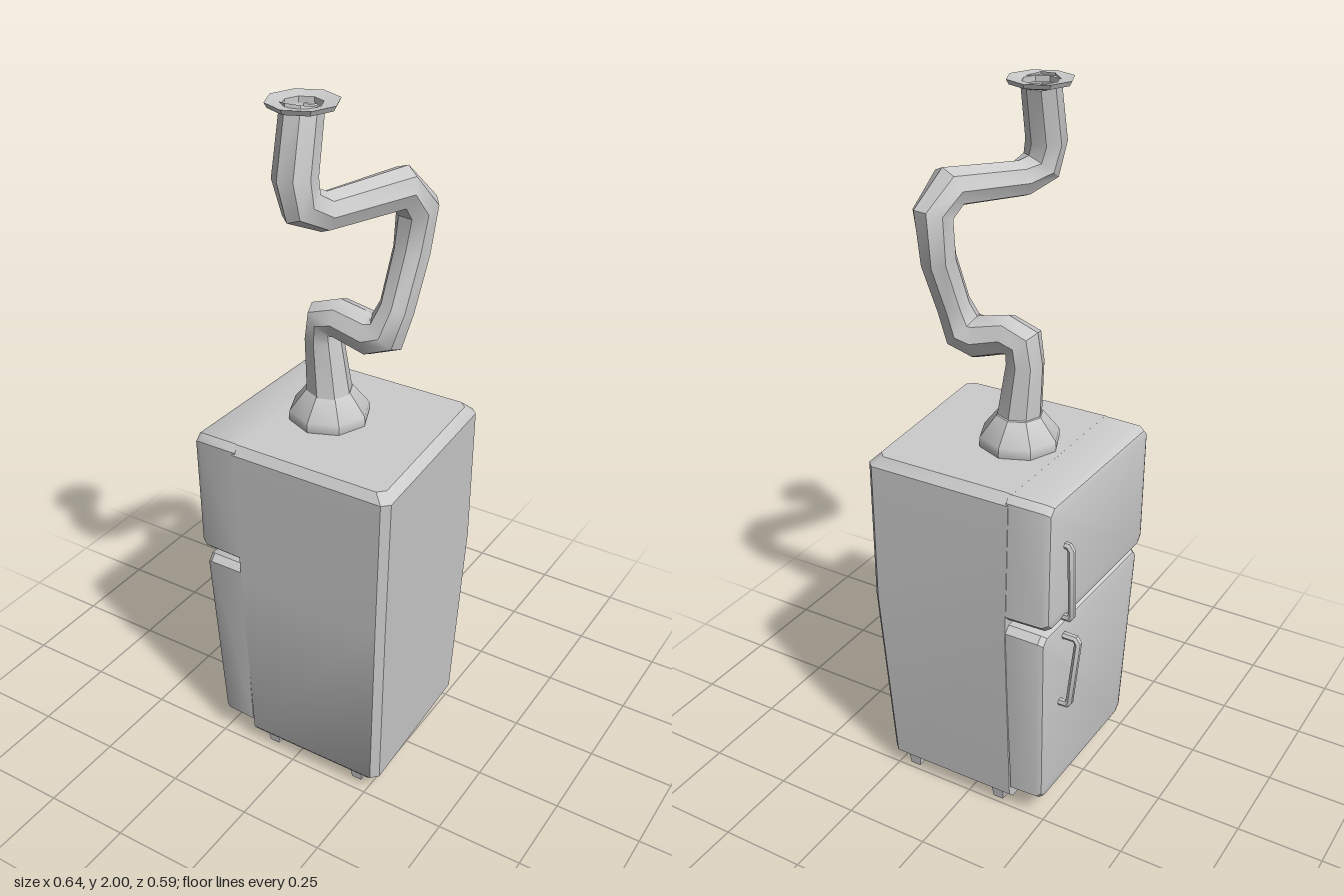
import * as THREE from 'three';
import { toCreasedNormals } from 'three/addons/utils/BufferGeometryUtils.js';

const V = (x, y, z) => new THREE.Vector3(x, y, z);
const material = new THREE.MeshStandardMaterial({ color: 0xcccccc });
const openMaterial = new THREE.MeshStandardMaterial({ color: 0xcccccc, side: THREE.DoubleSide });

function addMesh(parent, name, geometry, mat = material) {
  const mesh = new THREE.Mesh(toCreasedNormals(geometry, 0.6), mat);
  mesh.name = name;
  parent.add(mesh);
  return mesh;
}

// Skin a list of equal-length rings, counter-clockwise about the loft direction
function loft(rings, capped = true) {
  const n = rings[0].length, last = (rings.length - 1) * n, index = [];
  for (let i = 0; i < rings.length - 1; i++) {
    for (let j = 0; j < n; j++) {
      const a = i * n + j, b = i * n + (j + 1) % n;
      index.push(a, b, b + n, a, b + n, a + n);
    }
  }
  if (capped) {
    for (let j = 1; j < n - 1; j++) {
      index.push(0, j + 1, j, last, last + j, last + j + 1);
    }
  }
  const geometry = new THREE.BufferGeometry().setFromPoints(rings.flat());
  geometry.setIndex(index);
  geometry.computeVertexNormals();
  return geometry;
}

// Faceted tube through [x, y, z, radius] stations, mitred at the bends
function sweep(stations, sides, capped) {
  const pts = stations.map(s => V(s[0], s[1], s[2]));
  const dirs = pts.slice(1).map((p, i) => p.clone().sub(pts[i]).normalize());
  let normal = Math.abs(dirs[0].z) > 0.9 ? V(1, 0, 0) : V(0, 0, 1);
  const rings = pts.map((p, i) => {
    const before = dirs[Math.max(i - 1, 0)], after = dirs[Math.min(i, dirs.length - 1)];
    const t = before.clone().add(after).normalize();
    normal = normal.clone().addScaledVector(t, -normal.dot(t)).normalize();
    const side = t.clone().cross(normal);
    return Array.from({ length: sides }, (_, j) => {
      const a = j / sides * Math.PI * 2;
      return p.clone()
        .addScaledVector(normal, Math.cos(a) * stations[i][3])
        .addScaledVector(side, Math.sin(a) * stations[i][3]);
    });
  });
  return loft(rings, capped);
}

// Cabinet depth limits, slightly bellied at mid height
const MID = 0.62;
const mix = THREE.MathUtils.lerp;
const byHeight = (y, low, mid, high) =>
  y < MID ? mix(low, mid, (y - 0.05) / (MID - 0.05)) : mix(mid, high, (y - MID) / (1.035 - MID));
const backZ = y => byHeight(y, -0.26, -0.296, -0.287);
const frontZ = y => byHeight(y, 0.24, 0.267, 0.277);

// Horizontal cabinet section; the +x corners are chamfered
function cabinetRing(y, inset) {
  const h = Math.min(Math.max(y, 0.055), 1.035);
  const zf = frontZ(h) - inset * 0.75, zb = backZ(h) + inset;
  const xf = byHeight(h, 0.283, 0.308, 0.323) - inset;
  const xb = byHeight(h, 0.265, 0.283, 0.29) - inset;
  const xl = mix(-0.143, -0.155, y), c = 0.02;
  return [V(xl, y, zf), V(xf - c, y, zf), V(xf, y, zf - c),
    V(xb, y, zb + c), V(xb - c, y, zb), V(xl, y, zb)];
}

// Door slab growing toward -x, with softened corners and outer rim
function door(y0, y1, outerLow, outerHigh) {
  const ring = (depth, inset) => {
    const bottom = y0 + inset, top = y1 - inset, c = 0.018;
    const point = (y, front, cut) => {
      const z = front ? frontZ(Math.min(y, 1.035)) - inset - cut - 0.002
        : backZ(Math.min(y, 1.035)) + inset + cut + 0.002;
      const outer = mix(outerLow, outerHigh, (y - y0) / (y1 - y0)) - z * 0.015;
      return V(mix(-0.148, outer, depth), y, z);
    };
    return [point(bottom, true, c), point(bottom + c, true, 0),
      point(top - c, true, 0), point(top, true, c),
      point(top, false, c), point(top - c, false, 0),
      point(bottom + c, false, 0), point(bottom, false, c)];
  };
  return loft([ring(0, 0), ring(0.84, 0.002), ring(0.96, 0.01), ring(1, 0.024)]);
}

function lathe(profile) {
  return new THREE.LatheGeometry(profile.map(p => new THREE.Vector2(p[0], p[1])), 8);
}

export function createModel() {
  const model = new THREE.Group();
  model.name = 'refrigeratorWithPipe';

  // Cabinet and its two doors
  addMesh(model, 'cabinet', loft([
    cabinetRing(0.035, 0.02), cabinetRing(0.055, 0), cabinetRing(MID, 0),
    cabinetRing(1.035, 0), cabinetRing(1.06, 0.024),
  ]));
  addMesh(model, 'upperDoor', door(0.678, 1.06, -0.285, -0.284));
  addMesh(model, 'lowerDoor', door(0.066, 0.662, -0.25, -0.272));

  // Door handles: two stubs joined by a bar
  const handle = (name, yTop, xTop, yLow, xLow, z) => {
    const group = new THREE.Group();
    group.name = name;
    const r = 0.011;
    addMesh(group, 'handleBar', sweep([
      [-0.25, yTop, z, r], [xTop + 0.008, yTop, z, r], [xTop, yTop - 0.012, z, r],
      [xLow, yLow + 0.012, z, r], [xLow + 0.008, yLow, z, r], [-0.245, yLow, z, r],
    ], 6, true));
    model.add(group);
  };
  handle('upperHandle', 0.917, -0.299, 0.694, -0.305, -0.206);
  handle('lowerHandle', 0.613, -0.312, 0.385, -0.29, -0.18);

  // Four tapered feet
  for (const x of [-0.09, 0.202]) {
    for (const z of [-0.218, 0.197]) {
      const foot = new THREE.CylinderGeometry(0.03, 0.022, 0.05, 4);
      foot.rotateY(Math.PI / 4);
      addMesh(model, 'foot', foot).position.set(x, 0.025, z);
    }
  }

  // Collar where the pipe leaves the top
  addMesh(model, 'pipeCollar', lathe([
    [0.108, 1.05], [0.114, 1.068], [0.112, 1.09], [0.065, 1.15], [0.05, 1.152],
  ])).position.set(-0.026, 0, -0.004);

  // Crooked open pipe
  addMesh(model, 'pipe', sweep([
    [-0.022, 1.13, 0, 0.064], [-0.04, 1.3, 0, 0.053], [-0.034, 1.355, 0, 0.057],
    [0.012, 1.368, 0, 0.056], [0.1, 1.345, -0.005, 0.06], [0.146, 1.36, -0.01, 0.06],
    [0.168, 1.43, -0.022, 0.048], [0.176, 1.57, -0.076, 0.05], [0.187, 1.69, -0.08, 0.056],
    [0.17, 1.75, -0.025, 0.058], [0.075, 1.735, 0.175, 0.05], [0.045, 1.762, 0.228, 0.056],
    [0.034, 1.83, 0.236, 0.056], [0.028, 1.99, 0.192, 0.053],
  ], 8, false), openMaterial);

  // Flared rim at the pipe mouth
  const rim = addMesh(model, 'pipeRim', lathe([
    [0.05, 1.978], [0.084, 1.987], [0.091, 2], [0.05, 1.994], [0.05, 1.978],
  ]), openMaterial);
  rim.position.set(0.028, 0, 0.19);

  return model;
}
